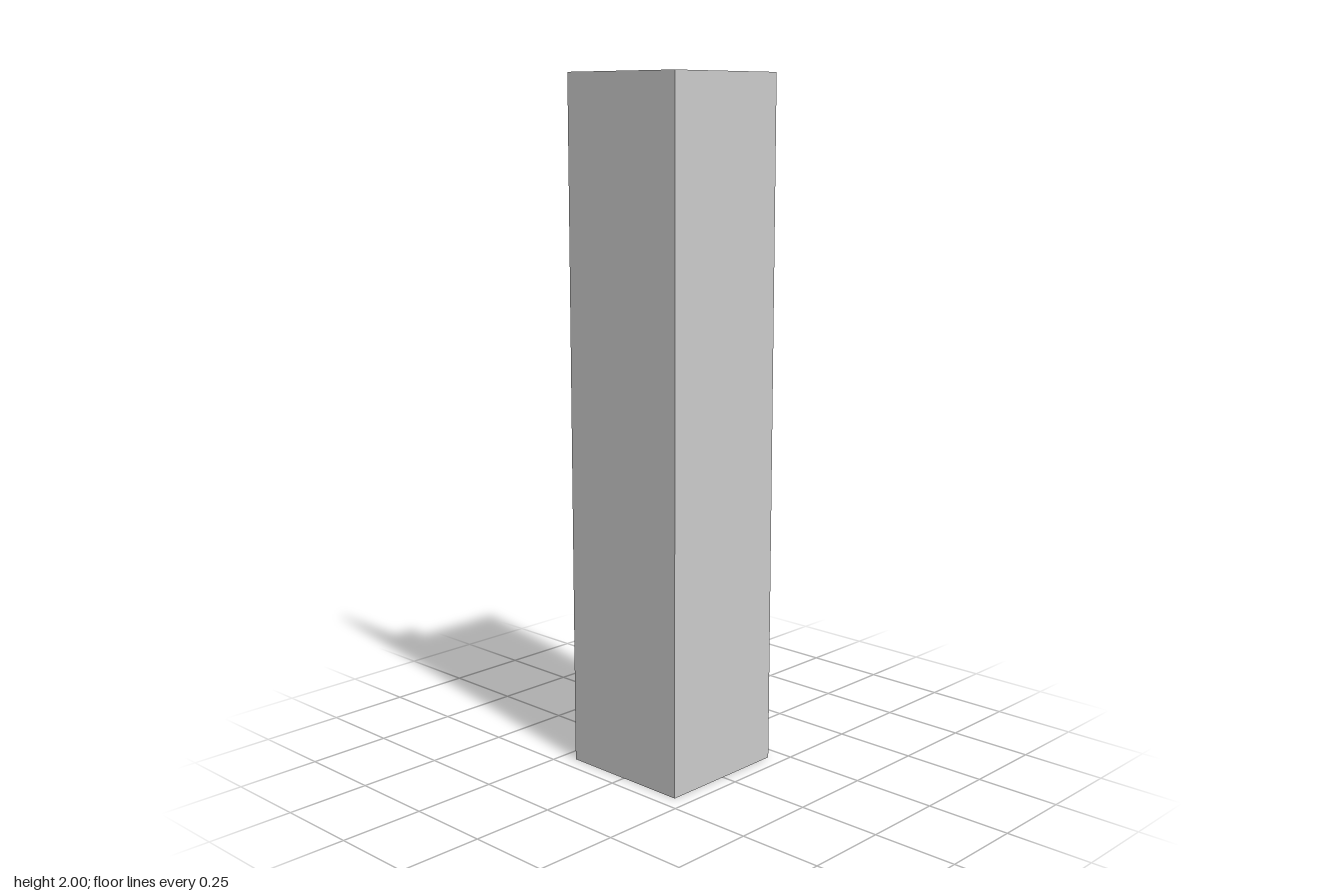
import * as THREE from 'three';

const OUT = 0.203;   // outer half width of the corner
const T = 0.01;      // wall thickness
const IN = OUT - T;  // inner corner sits at x = -IN, z = IN
const H = 2;

const material = new THREE.MeshStandardMaterial({ color: 0xcccccc, flatShading: true });

// Quarter plan of a chamfered pier: half width a, chamfer starting at b (b = a gives a square)
const pier = (a, b) => [[0, 0], [a, 0], [a, b], [b, a], [0, a]];

// Loft through [y, plan] sections; plans are measured out from the inner corner
function loft(name, sections) {
  const pos = [];
  const point = (s, i) => {
    const [y, plan] = sections[s];
    const [u, w] = plan[i % plan.length];
    return new THREE.Vector3(-IN + u, y, IN - w);
  };
  const tri = (a, b, c) => {
    const area = b.clone().sub(a).cross(c.clone().sub(a)).length();
    if (area > 1e-9) pos.push(...a, ...b, ...c);
  };
  const n = sections[0][1].length;
  const last = sections.length - 1;
  for (let s = 0; s < last; s++) {
    for (let i = 0; i < n; i++) {
      const a = point(s, i), b = point(s, i + 1);
      const c = point(s + 1, i + 1), d = point(s + 1, i);
      tri(a, b, c);
      tri(a, c, d);
    }
  }
  // Fans from the corner close both ends
  for (let i = 1; i < n - 1; i++) {
    tri(point(0, 0), point(0, i + 1), point(0, i));
    tri(point(last, 0), point(last, i), point(last, i + 1));
  }
  const geometry = new THREE.BufferGeometry();
  geometry.setAttribute('position', new THREE.Float32BufferAttribute(pos, 3));
  geometry.computeVertexNormals();
  const mesh = new THREE.Mesh(geometry, material);
  mesh.name = name;
  return mesh;
}

function box(name, w, h, d, x, y, z) {
  const mesh = new THREE.Mesh(new THREE.BoxGeometry(w, h, d), material);
  mesh.name = name;
  mesh.position.set(x, y, z);
  return mesh;
}

export function createModel() {
  const model = new THREE.Group();
  model.name = 'cornerWallWithColumn';

  // Two thin walls meeting at a right angle
  model.add(
    box('frontWall', 2 * OUT, H, T, 0, H / 2, OUT - T / 2),
    box('sideWall', T, H, 2 * OUT - T, -OUT + T / 2, H / 2, -T / 2)
  );

  const column = new THREE.Group();
  column.name = 'cornerColumn';

  // Chamfered plinth with a slight lip and a sloping upper tier
  column.add(loft('base', [
    [0, pier(0.08, 0.05)],
    [0.07, pier(0.08, 0.05)],
    [0.08, pier(0.086, 0.053)],
    [0.095, pier(0.086, 0.053)],
    [0.097, pier(0.068, 0.035)],
    [0.115, pier(0.063, 0.03)],
  ]));

  // Shaft with a recessed channel along its diagonal
  const shaftPlan = [[0, 0], [0.05, 0], [0.05, 0.016], [0.026, 0.016],
    [0.016, 0.026], [0.016, 0.05], [0, 0.05]];
  column.add(loft('shaft', [[0.11, shaftPlan], [1.76, shaftPlan]]));

  // Capital: neck ring, then chamfered plan widening into a square
  column.add(loft('capital', [
    [1.75, pier(0.05, 0.016)],
    [1.755, pier(0.056, 0.02)],
    [1.765, pier(0.056, 0.02)],
    [1.77, pier(0.053, 0.018)],
    [1.86, pier(0.071, 0.071)],
    [1.89, pier(0.073, 0.073)],
  ]));

  // Square block at the top
  column.add(loft('abacus', [[1.89, pier(0.081, 0.081)], [H, pier(0.081, 0.081)]]));

  model.add(column);
  return model;
}
